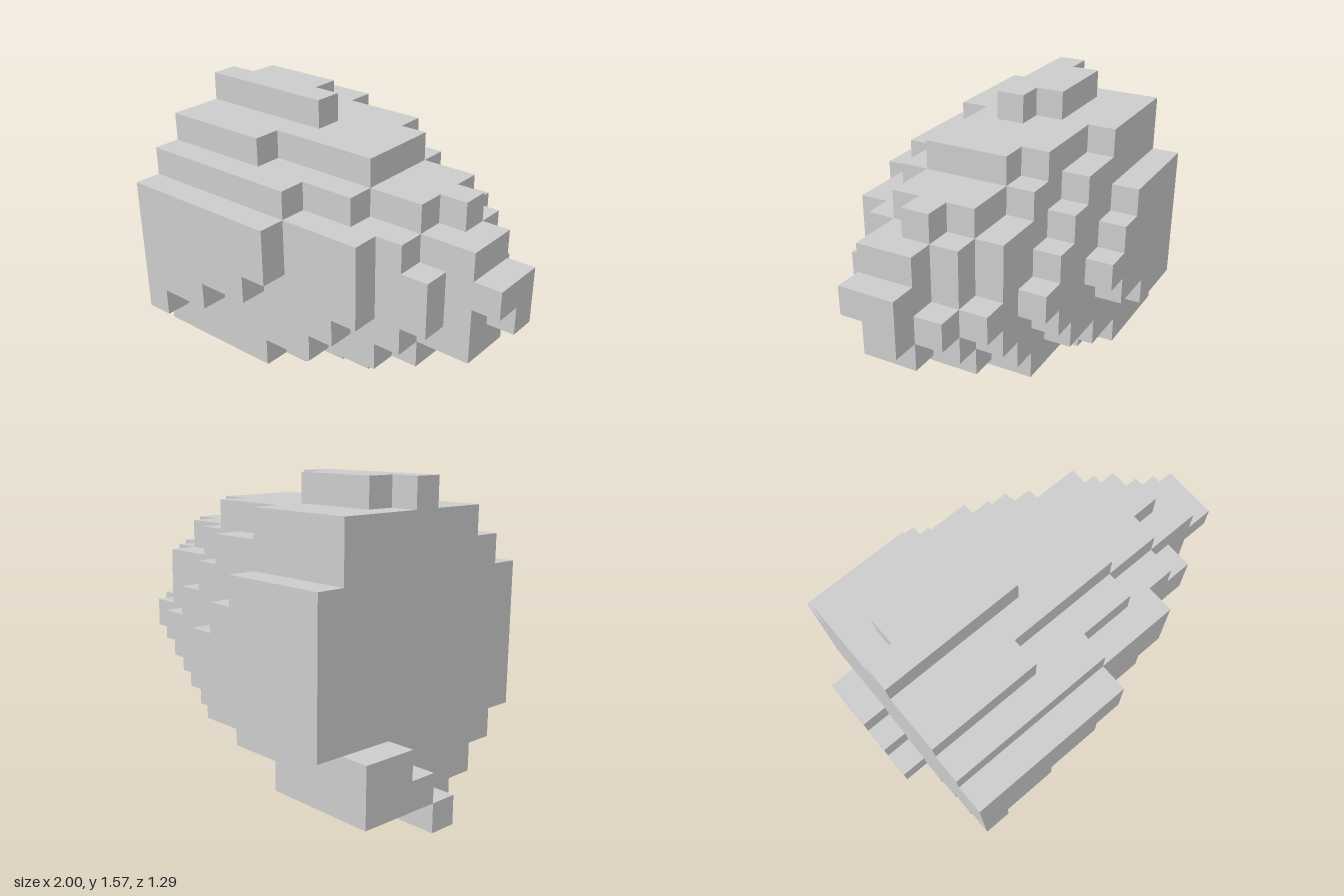
import * as THREE from 'three';

const CELL = 1 / 7;
const START = 1; // the flat end lies one cell in from the lowest x

// For each layer from the bottom up: the cell where each row stops, rows from back to front (0 = empty)
const ENDS = [
  [0, 0, 0, 0, 4, 4, 0, 0, 0],
  [0, 4, 5, 6, 7, 6, 5, 0, 0],
  [0, 6, 9, 9, 9, 9, 7, 6, 0],
  [4, 8, 10, 11, 11, 11, 10, 8, 2],
  [6, 9, 11, 12, 13, 13, 11, 9, 4],
  [7, 10, 12, 13, 14, 13, 12, 10, 6],
  [6, 9, 11, 12, 14, 14, 12, 10, 7],
  [5, 8, 11, 12, 13, 13, 11, 10, 7],
  [0, 7, 9, 11, 12, 11, 9, 7, 0],
  [0, 5, 8, 9, 9, 9, 5, 0, 0],
  [0, 0, 0, 5, 6, 0, 0, 0, 0],
];

// Cells [y, z] that stick out of the flat end
const KNOBS = [[1, 1], [2, 1], [1, 2], [2, 2], [1, 3], [0, 4]];

function filled(x, y, z) {
  if (x === 0) return KNOBS.some(([ky, kz]) => ky === y && kz === z);
  if (x === 1 && y === 10 && z === 3) return false; // notch in the top ridge
  return x >= START && x < (ENDS[y]?.[z] ?? 0);
}

// Outer skin of the cells in one layer: only faces with no neighbour are kept
function layerGeometry(y) {
  const cube = new THREE.BoxGeometry(CELL, CELL, CELL).toNonIndexed();
  const p = cube.attributes.position;
  const n = cube.attributes.normal;
  const positions = [];
  const normals = [];
  for (let z = 0; z < 9; z++) {
    for (let x = 0; x < 14; x++) {
      if (!filled(x, y, z)) continue;
      for (let v = 0; v < 36; v++) {
        const d = [n.getX(v), n.getY(v), n.getZ(v)].map(Math.round);
        if (filled(x + d[0], y + d[1], z + d[2])) continue;
        positions.push(
          p.getX(v) + (x - 6.5) * CELL,
          p.getY(v) + (y + 0.5) * CELL,
          p.getZ(v) + (z - 4) * CELL
        );
        normals.push(...d);
      }
    }
  }
  const geometry = new THREE.BufferGeometry();
  geometry.setAttribute('position', new THREE.Float32BufferAttribute(positions, 3));
  geometry.setAttribute('normal', new THREE.Float32BufferAttribute(normals, 3));
  return geometry;
}

export function createModel() {
  const model = new THREE.Group();
  model.name = 'steppedRock';
  const material = new THREE.MeshStandardMaterial({ color: 0xcccccc, flatShading: true });
  // Stack of stepped layers, from the bottom ridge to the top ridge
  for (let y = 0; y < ENDS.length; y++) {
    const layer = new THREE.Mesh(layerGeometry(y), material);
    layer.name = y === 0 ? 'bottomRidge' : y === ENDS.length - 1 ? 'topRidge' : `rockLayer${y}`;
    model.add(layer);
  }
  return model;
}
